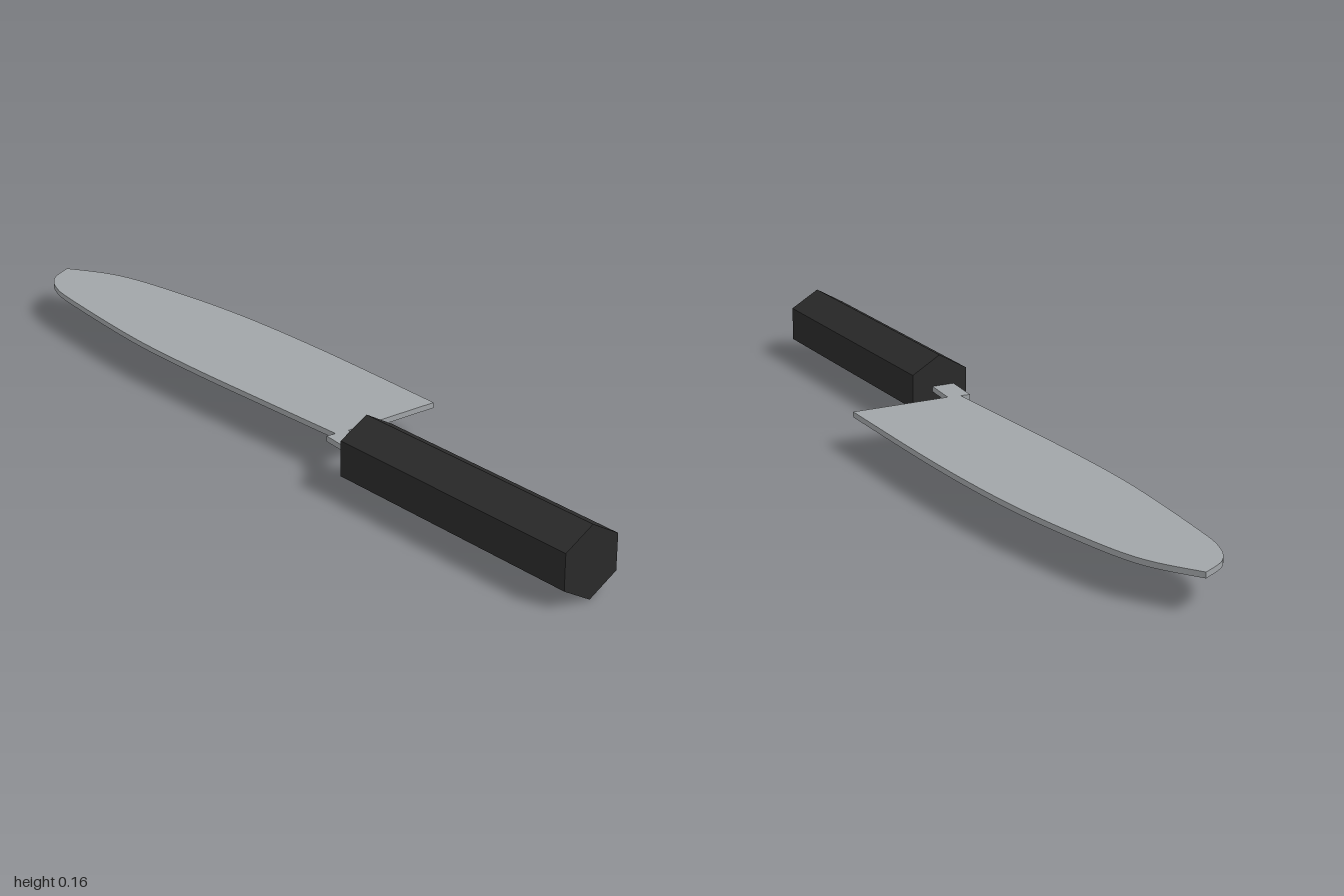
import * as THREE from 'three';

const MID_Y = 0.082;
const THICKNESS = 0.013;

// Extrude a top-view (x, z) outline into a flat plate centred on MID_Y
function plate(name, shape, material) {
  const geometry = new THREE.ExtrudeGeometry(shape, {
    depth: THICKNESS, bevelEnabled: false, curveSegments: 24,
  });
  geometry.rotateX(Math.PI / 2);
  geometry.translate(0, MID_Y + THICKNESS / 2, 0);
  const mesh = new THREE.Mesh(geometry, material);
  mesh.name = name;
  return mesh;
}

const points = (list) => list.map(([x, z]) => new THREE.Vector2(x, z));

export function createModel() {
  const steel = new THREE.MeshStandardMaterial({ color: 0xa1a5a8 });
  steel.name = 'steel';
  const black = new THREE.MeshStandardMaterial({ color: 0x2a2a2a });
  black.name = 'black handle';

  const model = new THREE.Group();
  model.name = 'kitchenKnife';

  // Blade: curved cutting edge from heel to tip, then the spine back down
  const outline = new THREE.Shape();
  outline.moveTo(-0.098, 0.228);
  outline.lineTo(0.177, 0.207);
  outline.splineThru(points([
    [0.146, -0.185], [0.108, -0.48], [0.056, -0.715], [0, -0.885], [-0.082, -1],
  ]));
  outline.splineThru(points([
    [-0.14, -0.958], [-0.17, -0.895], [-0.18, -0.795], [-0.18, -0.5],
    [-0.161, -0.265], [-0.13, -0.016], [-0.098, 0.228],
  ]));
  model.add(plate('blade', outline, steel));

  // Tang joining the blade to the handle
  const neck = new THREE.Shape(points([
    [-0.122, 0.224], [-0.066, 0.224], [-0.066, 0.36], [-0.122, 0.36],
  ]));
  model.add(plate('tang', neck, steel));

  // Hexagonal handle, an edge up, angled slightly off the blade
  const grip = new THREE.CylinderGeometry(0.082, 0.082, 0.677, 6).toNonIndexed();
  grip.rotateX(Math.PI / 2);
  grip.computeVertexNormals();
  const handle = new THREE.Mesh(grip, black);
  handle.name = 'handle';
  handle.position.set(-0.055, MID_Y, 0.656);
  handle.rotation.y = THREE.MathUtils.degToRad(5);
  model.add(handle);

  return model;
}
